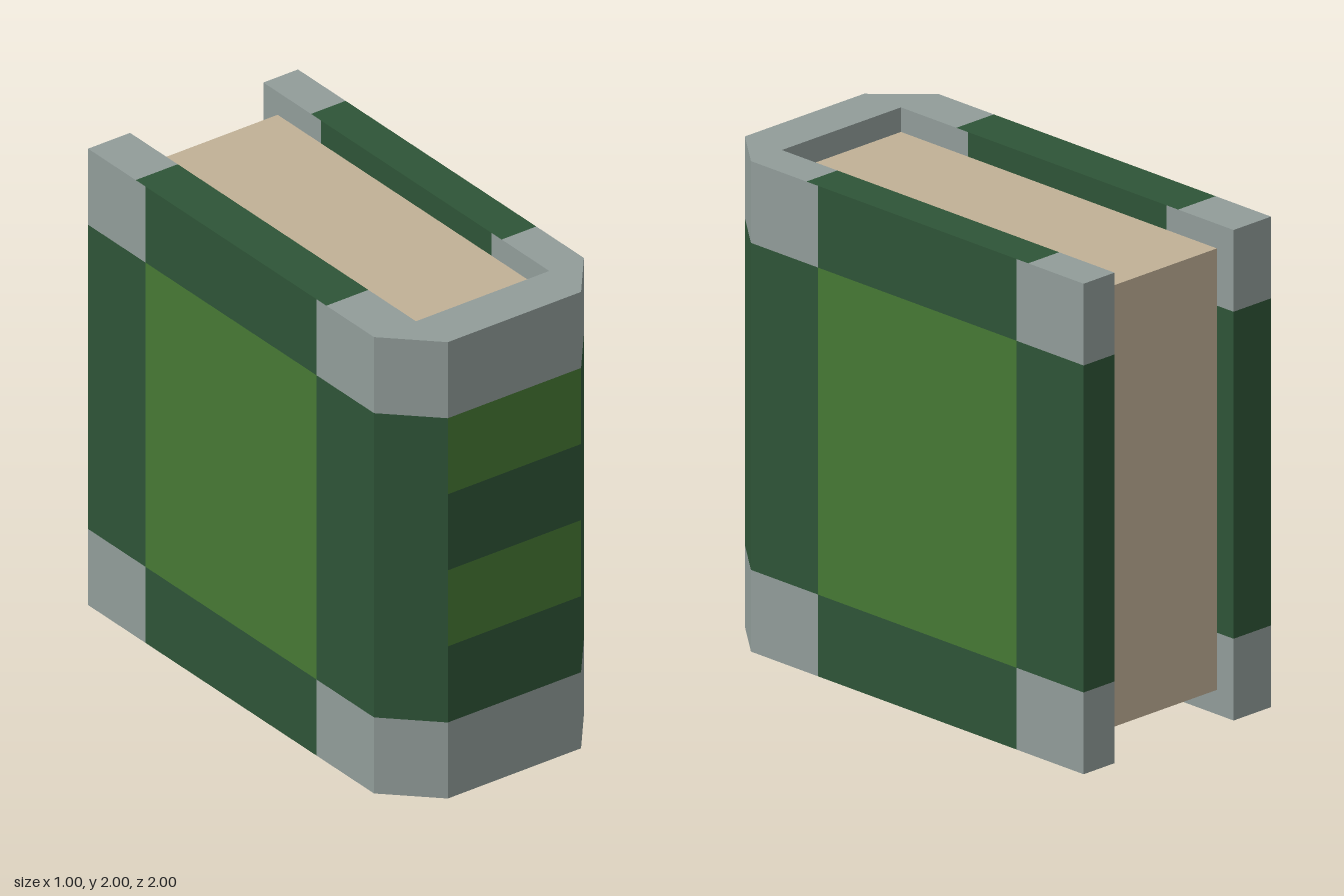
import * as THREE from 'three';

const mat = (name, color) => new THREE.MeshStandardMaterial({ name, color });

export function createModel() {
  const grey = mat('metal grey', 0x919c99);
  const dark = mat('dark green', 0x2e5437);
  const light = mat('light green', 0x467834);
  const paper = mat('paper tan', 0xc0b096);

  const book = new THREE.Group();
  book.name = 'book';

  // Box from its minimum and maximum corners
  function block(parent, name, [x0, y0, z0], [x1, y1, z1], material) {
    const mesh = new THREE.Mesh(new THREE.BoxGeometry(x1 - x0, y1 - y0, z1 - z0), material);
    mesh.position.set((x0 + x1) / 2, (y0 + y1) / 2, (z0 + z1) / 2);
    mesh.name = name;
    parent.add(mesh);
  }

  const xOut = 0.5, xLeft = 0.335, xRight = -0.3;
  const zBack = -1, zHinge = 0.8, zSpine = 1;
  const third = 1 / 3;

  // Page block, recessed at top, bottom and back
  block(book, 'pages', [xRight, 0.1, -0.91], [xLeft, 1.9, zHinge], paper);

  // Cover boards: grey corner guards, dark border, light centre panel.
  // The guards reach slightly further along the sides than along the edges.
  const zCuts = [zBack, -0.7, -0.637, 0.437, 0.5, zHinge];
  const yCuts = [0, third, 5 * third, 2];
  function cover(name, x0, x1) {
    const group = new THREE.Group();
    group.name = name;
    for (let i = 0; i < 5; i++) {
      for (let j = 0; j < 3; j++) {
        const centreZ = i === 2, centreY = j === 1;
        const side = centreZ ? (centreY ? light : dark) : (centreY ? dark : grey);
        const edge = i === 0 || i === 4 ? grey : dark;
        const end = centreY ? dark : grey;
        block(group, centreZ && centreY ? 'coverPanel' : 'coverBorder',
          [x0, yCuts[j], zCuts[i]], [x1, yCuts[j + 1], zCuts[i + 1]],
          [side, side, edge, edge, end, end]);
      }
    }
    book.add(group);
  }
  cover('leftCover', xLeft, xOut);
  cover('rightCover', -xOut, xRight);

  // Spine bands, from the bottom up
  const spine = new THREE.Group();
  spine.name = 'spine';
  [grey, dark, light, dark, light, grey].forEach((m, i) =>
    block(spine, 'spineBand', [xRight, i * third, zHinge], [xLeft, (i + 1) * third, zSpine], m));

  // Bevelled spine corners: triangular prisms extruded upwards
  function bevel(name, xIn, xEdge) {
    const shape = new THREE.Shape([
      new THREE.Vector2(xIn, -zHinge),
      new THREE.Vector2(xEdge, -zHinge),
      new THREE.Vector2(xIn, -zSpine),
    ]);
    for (let j = 0; j < 3; j++) {
      const geo = new THREE.ExtrudeGeometry(shape, { depth: yCuts[j + 1] - yCuts[j], bevelEnabled: false });
      geo.rotateX(-Math.PI / 2);
      const mesh = new THREE.Mesh(geo, j === 1 ? dark : grey);
      mesh.position.y = yCuts[j];
      mesh.name = name;
      spine.add(mesh);
    }
  }
  bevel('leftSpineBevel', xLeft, xOut);
  bevel('rightSpineBevel', xRight, -xOut);
  book.add(spine);

  return book;
}
